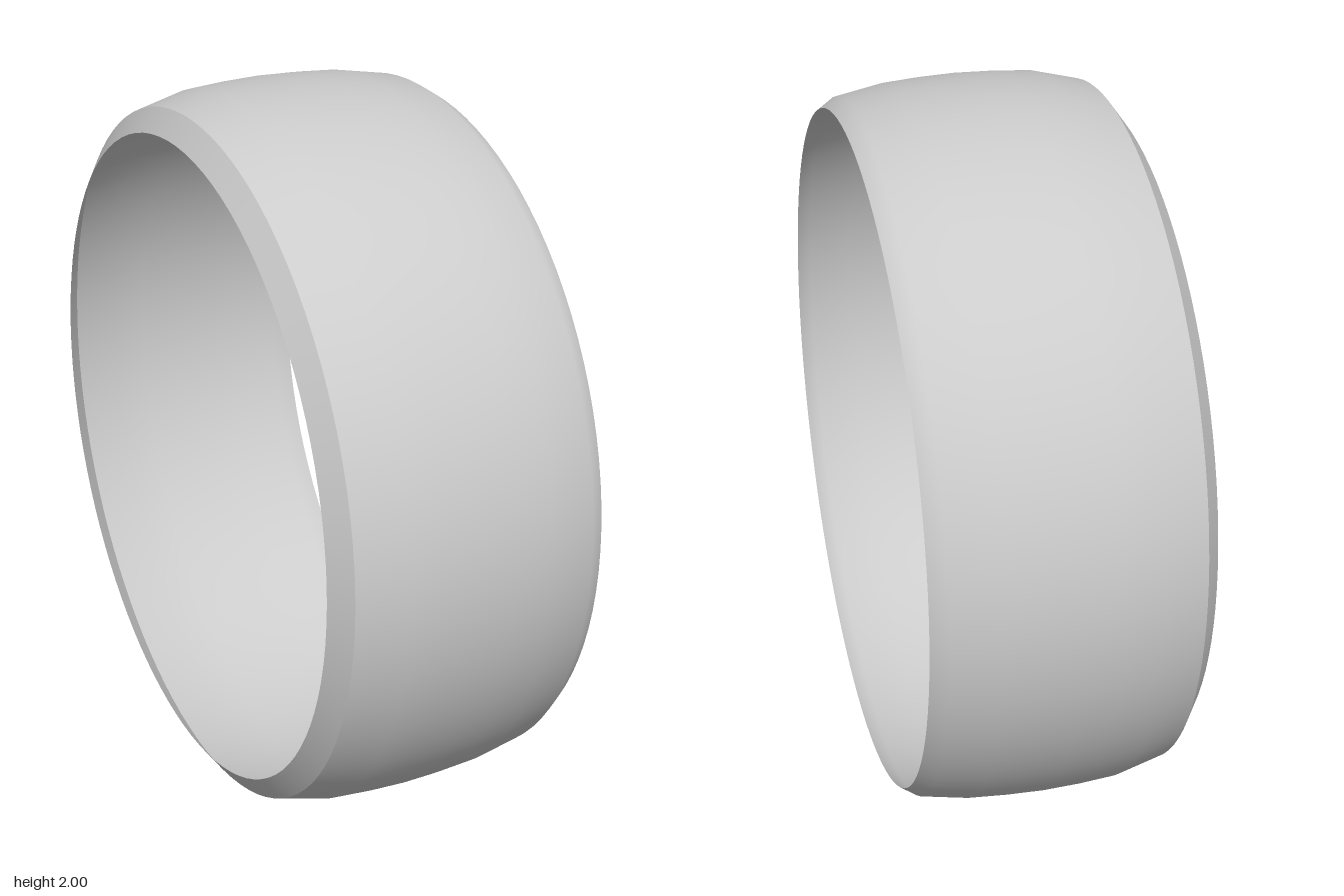
import * as THREE from 'three';

const material = new THREE.MeshStandardMaterial({ color: 0xcccccc, side: THREE.DoubleSide });

// Revolves an open profile of [x, radius] points around the x axis
function band(name, profile) {
  const points = profile.map(([x, r]) => new THREE.Vector2(r, x));
  const geometry = new THREE.LatheGeometry(points, 96);
  geometry.rotateZ(-Math.PI / 2);
  geometry.translate(0, 1, 0);
  const mesh = new THREE.Mesh(geometry, material);
  mesh.name = name;
  return mesh;
}

export function createModel() {
  const group = new THREE.Group();
  group.name = 'ring';

  // Thin, gently crowned outer wall, open on the left side
  group.add(band('crownedBand', [
    [-0.33, 0.957], [-0.2, 0.99], [-0.1, 0.997], [0, 1], [0.1, 0.997],
    [0.2, 0.99], [0.33, 0.966], [0.372, 0.938],
  ]));

  // Bevelled lip on the right side, separated by a sharp crease
  group.add(band('bevelledLip', [[-0.375, 0.893], [-0.33, 0.957]]));

  return group;
}
